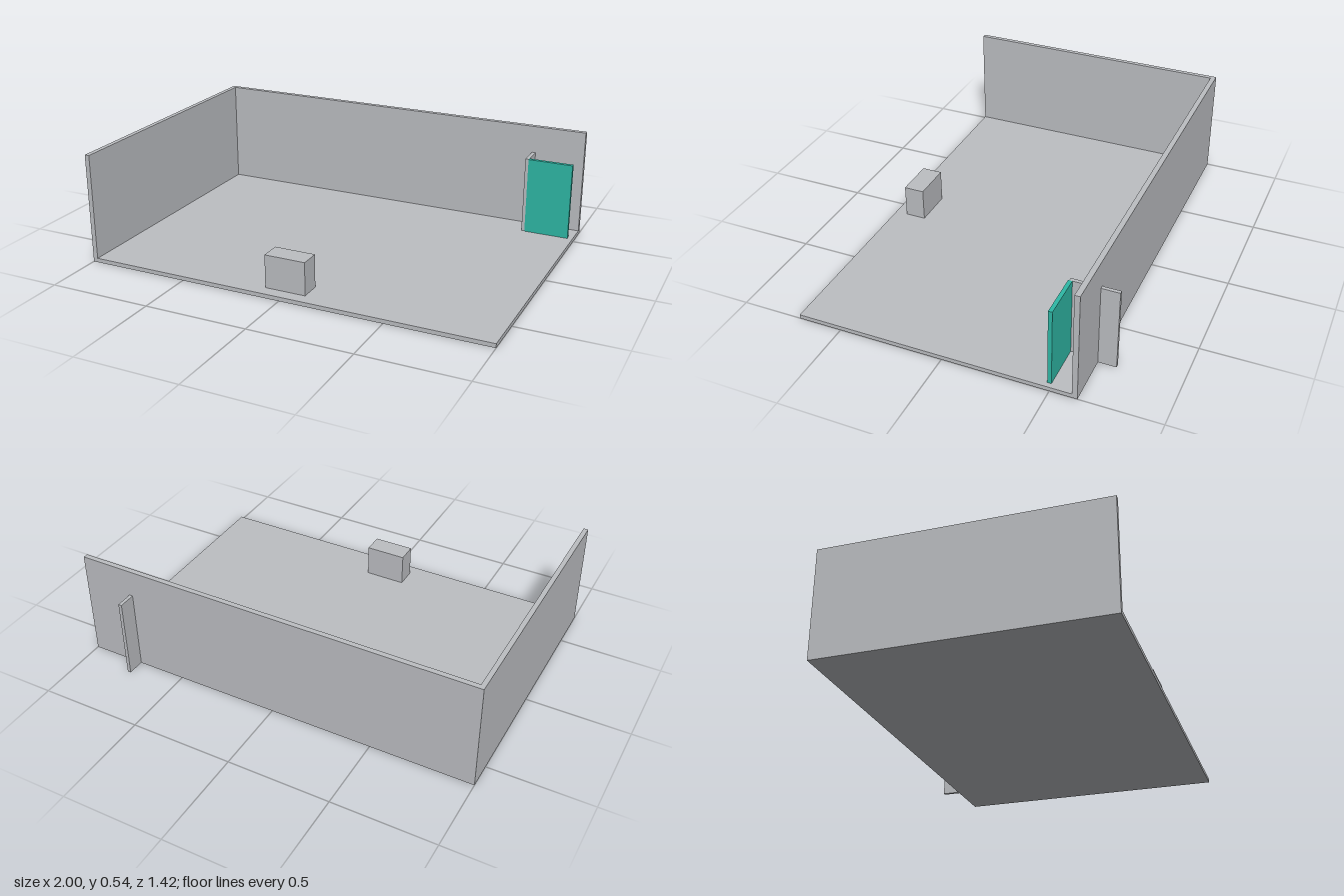
import * as THREE from 'three';

export function createModel() {
  const group = new THREE.Group();
  const gray = new THREE.MeshStandardMaterial({ color: 0xbcbec2 });
  gray.name = 'plaster gray';
  const teal = new THREE.MeshStandardMaterial({ color: 0x2fb8a6 });
  teal.name = 'door teal';

  // Box given by its extents on each axis
  const box = (name, material, [x0, x1], [y0, y1], [z0, z1]) => {
    const mesh = new THREE.Mesh(new THREE.BoxGeometry(x1 - x0, y1 - y0, z1 - z0), material);
    mesh.position.set((x0 + x1) / 2, (y0 + y1) / 2, (z0 + z1) / 2);
    mesh.name = name;
    group.add(mesh);
  };

  // Room shell: floor and two walls, open at the front and left
  box('floor', gray, [-1, 1], [0, 0.02], [-0.6, 0.71]);
  box('backWall', gray, [-1, 1], [0, 0.535], [-0.625, -0.6]);
  box('sideWall', gray, [-1, -0.977], [0, 0.535], [-0.6, 0.71]);

  // Partition passing through the back wall, with the door panel at its front end
  box('partition', gray, [0.738, 0.755], [0.001, 0.4], [-0.71, -0.486]);
  box('door', teal, [0.755, 0.975], [0.001, 0.4], [-0.5, -0.481]);

  // Low block near the front edge
  box('block', gray, [-0.1, 0.1], [0.02, 0.18], [0.55, 0.65]);

  return group;
}
